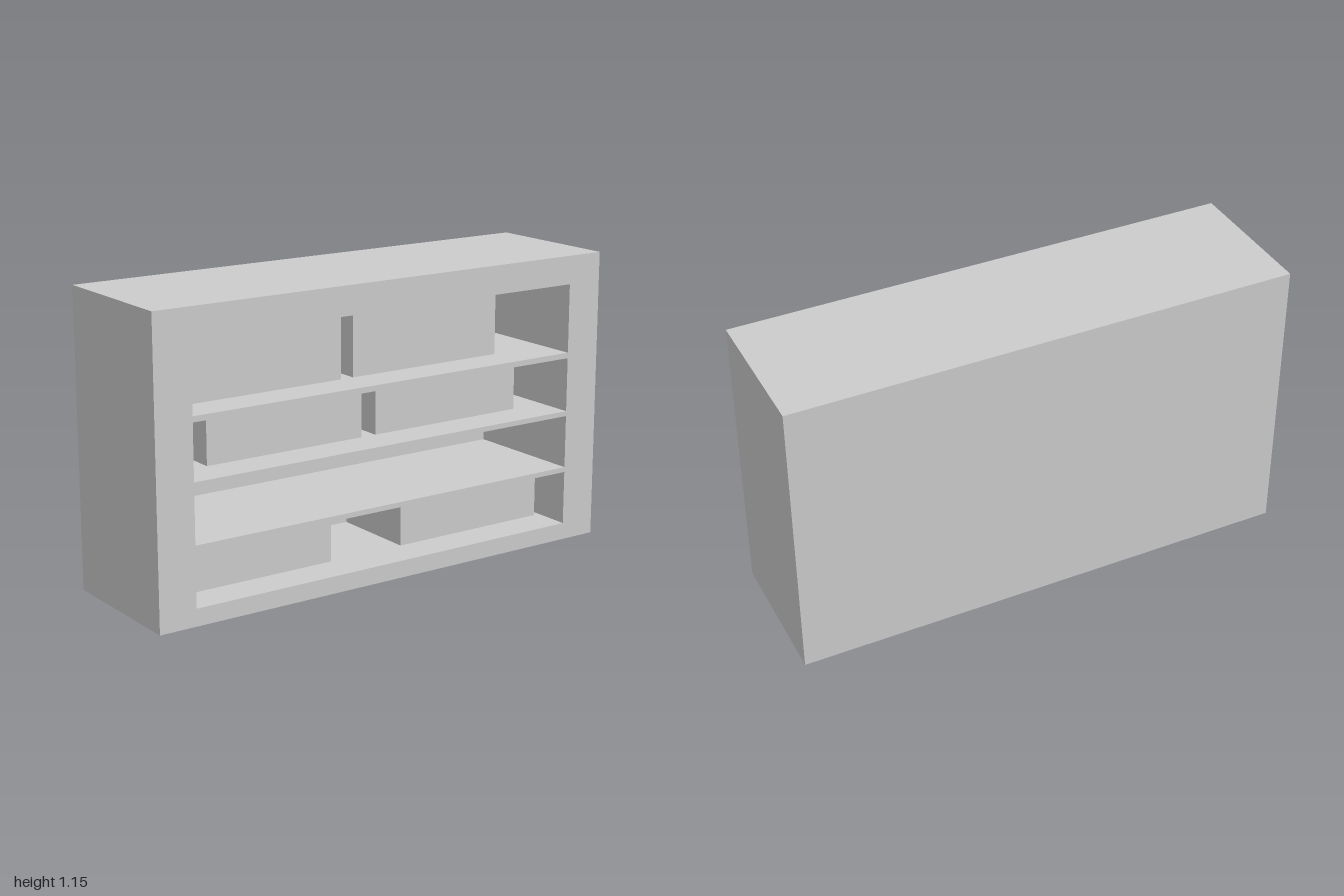
import * as THREE from 'three';

const W = 2, H = 1.15, D = 0.57;
const BACK = 0.06; // thickness of the back panel
const RECESS = 0.147; // boxes sit this far behind the front
const BAY_HALF = 0.85;

// Each bay: floor, ceiling, height of its boxes, and their [left, right] ends in x
const bays = [
  { y0: 0.067, y1: 0.28, h: 0.198, boxes: [[-0.849, -0.175], [0.15, 0.824]] },
  { y0: 0.3, y1: 0.51, h: 0, boxes: [] },
  { y0: 0.53, y1: 0.744, h: 0.2, boxes: [[-0.71, -0.036], [0.028, 0.702]] },
  { y0: 0.766, y1: 1.038, h: 0.236, boxes: [[-0.802, -0.128], [-0.074, 0.6]] },
];

function rectangle(path, x0, y0, x1, y1) {
  path.moveTo(x0, y0);
  path.lineTo(x1, y0);
  path.lineTo(x1, y1);
  path.lineTo(x0, y1);
  path.closePath();
  return path;
}

export function createModel() {
  const group = new THREE.Group();
  group.name = 'shelfUnit';
  const material = new THREE.MeshStandardMaterial({ color: 0xcccccc });

  const add = (name, geometry, x, y, z) => {
    const mesh = new THREE.Mesh(geometry, material);
    mesh.name = name;
    mesh.position.set(x, y, z);
    group.add(mesh);
  };

  // Cabinet with the shelf bays cut through it
  const outline = rectangle(new THREE.Shape(), -W / 2, 0, W / 2, H);
  for (const { y0, y1 } of bays) {
    outline.holes.push(rectangle(new THREE.Path(), -BAY_HALF, y0, BAY_HALF, y1));
  }
  const cabinet = new THREE.ExtrudeGeometry(outline, { depth: D - BACK, bevelEnabled: false });
  add('cabinet', cabinet, 0, 0, -D / 2 + BACK);

  // Back panel closing the bays
  add('backPanel', new THREE.BoxGeometry(W, H, BACK), 0, H / 2, -D / 2 + BACK / 2);

  // Boxes standing on the shelves
  const depth = D - BACK - RECESS;
  for (const { y0, h, boxes } of bays) {
    for (const [x0, x1] of boxes) {
      const geometry = new THREE.BoxGeometry(x1 - x0, h, depth);
      add('storageBox', geometry, (x0 + x1) / 2, y0 + h / 2, D / 2 - RECESS - depth / 2);
    }
  }
  return group;
}
